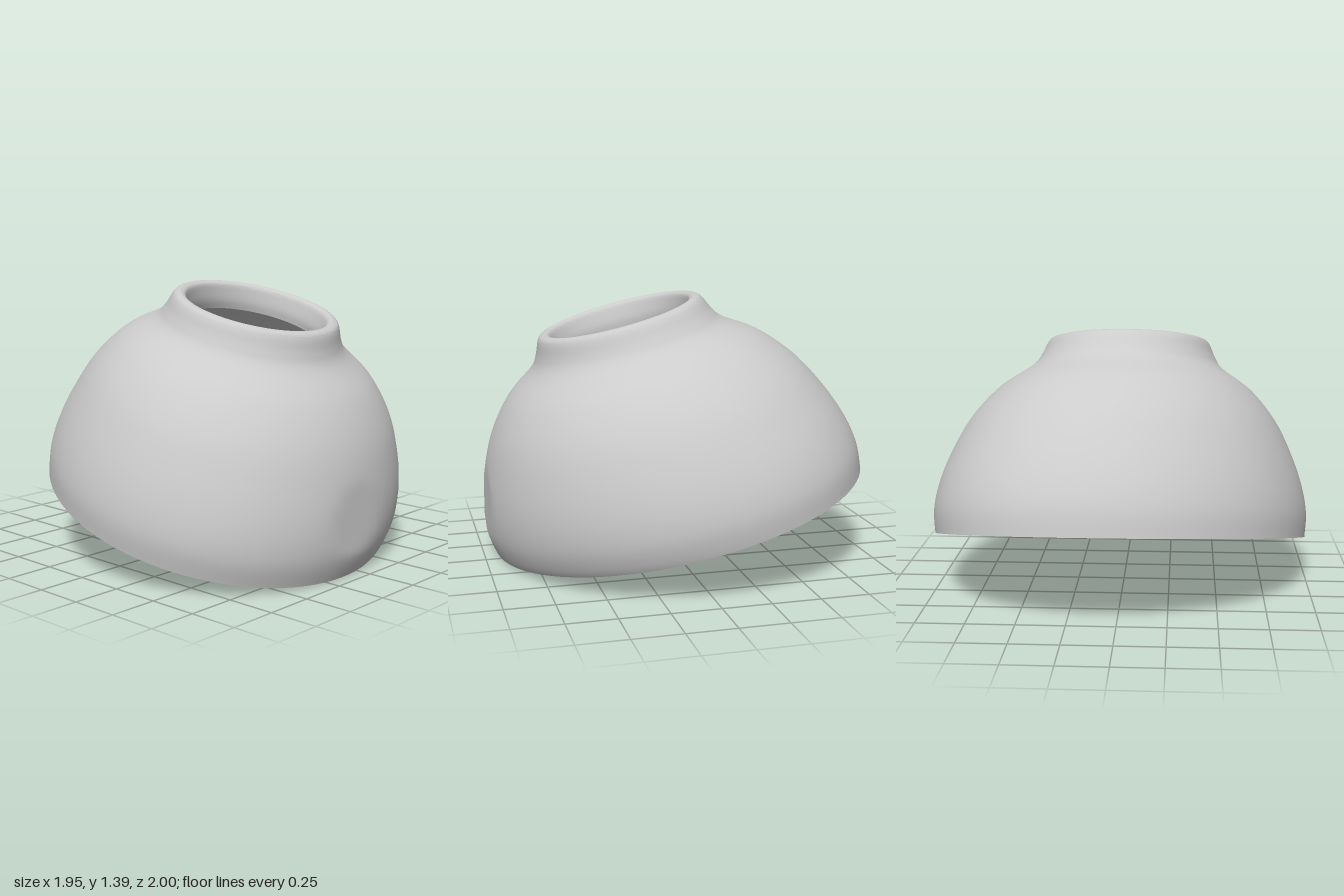
import * as THREE from 'three';
import { toCreasedNormals } from 'three/addons/utils/BufferGeometryUtils.js';

const SEGMENTS = 96;
const TILT = THREE.MathUtils.degToRad(15.2);

// smooth run of [radius, height] points
function curve(points, divisions) {
  return new THREE.SplineCurve(points.map(([r, h]) => new THREE.Vector2(r, h))).getPoints(divisions);
}
const straight = (points) => points.map(([r, h]) => new THREE.Vector2(r, h));

// turns a profile into a tilted shell, oval over the body and rounder at the neck
function ovalShell(name, profile, material) {
  const geometry = new THREE.LatheGeometry(profile, SEGMENTS);
  const p = geometry.attributes.position;
  for (let i = 0; i < p.count; i++) {
    const x = p.getX(i), h = p.getY(i), z = p.getZ(i);
    const k = 0.068 - 0.055 * Math.min(h / 1.07, 1) ** 2;
    // fuller belly towards the back left
    const facing = Math.max(0, (x - z) / Math.hypot(x, z) / Math.SQRT2);
    const belly = 1 + 0.042 * facing ** 4 * Math.sin(Math.PI * THREE.MathUtils.clamp(h / 0.95, 0, 1)) ** 0.6;
    p.setXYZ(i, (x + k * z) * belly + 0.012 * h * h, h, (z + k * x) * belly + 0.014 * h * h);
  }
  geometry.rotateZ(-TILT);
  geometry.translate(-0.025, 0.26, 0);
  // small flat spot on the low side
  for (let i = 0; i < p.count; i++) p.setX(i, Math.min(p.getX(i), 0.975));
  const mesh = new THREE.Mesh(toCreasedNormals(geometry, 0.6), material);
  mesh.name = name;
  return mesh;
}

export function createModel() {
  const model = new THREE.Group();
  model.name = 'tiltedDome';
  const material = new THREE.MeshStandardMaterial({ color: 0xcccccc, side: THREE.DoubleSide });

  // domed body sweeping into the flared collar
  const outer = curve([
    [0.987, 0], [0.995, 0.13], [0.968, 0.28], [0.907, 0.45], [0.815, 0.63],
    [0.682, 0.79], [0.525, 0.905], [0.477, 0.97], [0.448, 1.035], [0.43, 1.06], [0.405, 1.068],
  ], 50);
  model.add(ovalShell('outerShell', outer, material));

  // rounded lip and inside wall of the neck
  const neck = curve([[0.405, 1.068], [0.38, 1.058], [0.366, 1.02], [0.355, 0.97], [0.356, 0.925]], 16);
  model.add(ovalShell('neckLip', neck, material));

  // hollow inside, following the body
  const inner = curve([
    [0.356, 0.925], [0.47, 0.85], [0.615, 0.735], [0.735, 0.58], [0.81, 0.42], [0.845, 0.26], [0.845, 0.12],
  ], 30);
  model.add(ovalShell('innerShell', inner, material));

  // stepped rim around the open base
  const rim = straight([
    [0.845, 0.12], [0.78, 0.11], [0.78, 0.075], [0.85, 0.075], [0.85, 0.04], [0.91, 0.04], [0.91, 0], [0.987, 0],
  ]);
  model.add(ovalShell('steppedRim', rim, material));

  return model;
}
